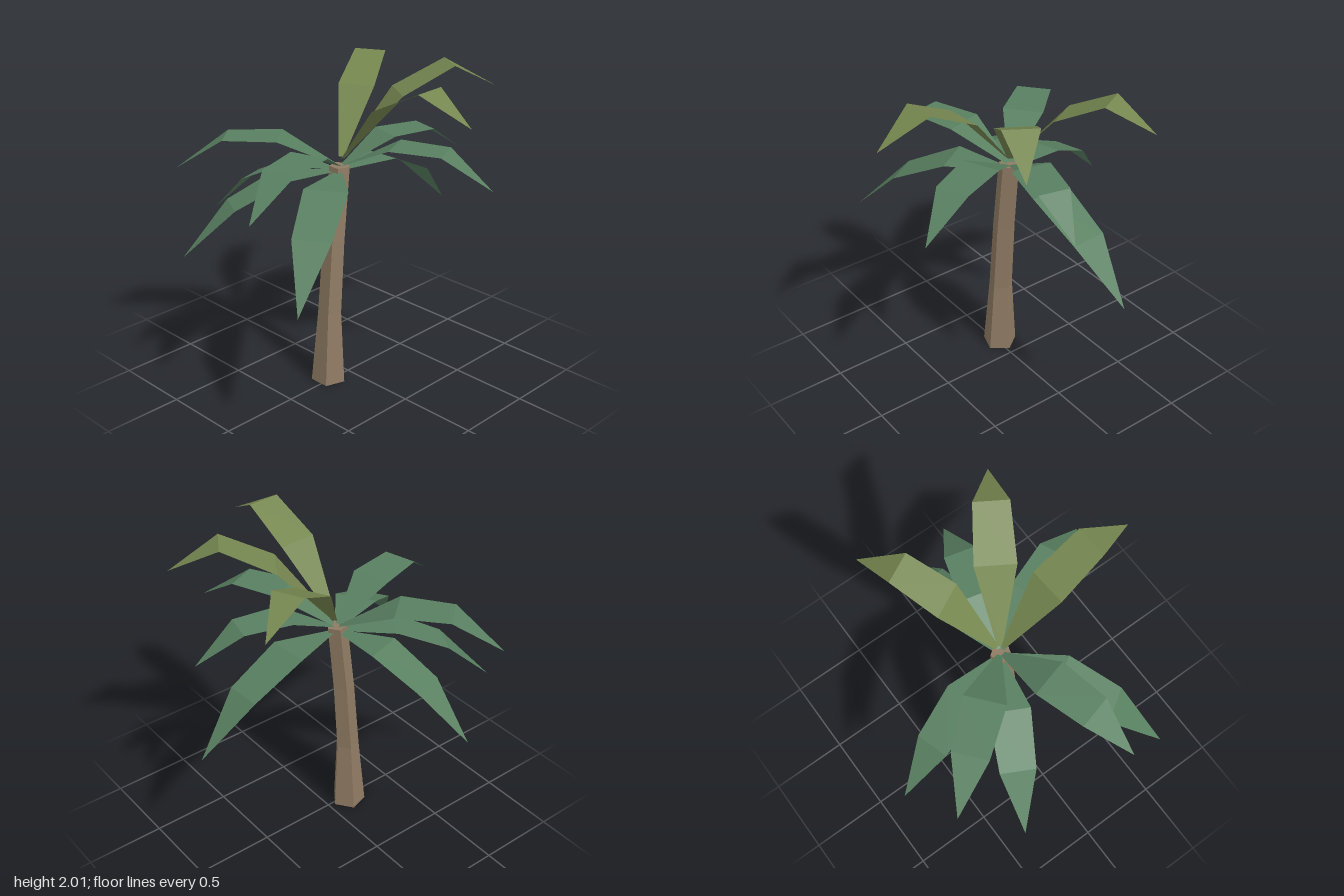
import * as THREE from 'three';

const bark = new THREE.MeshStandardMaterial({ color: 0x8f7b63, flatShading: true });
bark.name = 'bark brown';
const green = new THREE.MeshStandardMaterial({ color: 0x587f60, flatShading: true, side: THREE.DoubleSide });
green.name = 'leaf green';
const olive = new THREE.MeshStandardMaterial({ color: 0x75864f, flatShading: true, side: THREE.DoubleSide });
olive.name = 'young leaf olive';

// Where all fronds meet, seen from above
const CX = -0.04, CZ = -0.025;

// Crown tiers: base height, then rise at the two bends and the tip per unit of frond length
const tiers = {
  upperFrond: { y: 1.46, rise: [0.405, 0.57, 0.4], material: olive, tips: [[0.02, 0.91], [0.77, 0.485], [0.755, -0.435]] },
  middleFrond: { y: 1.415, rise: [0.172, 0.166, -0.05], material: green, tips: [[0.82, 0.185], [-0.975, 0.225], [-0.68, -0.79], [0.34, 0.835]] },
  lowerFrond: { y: 1.382, rise: [0.008, -0.15, -0.455], material: green, tips: [[0.97, -0.065], [-0.92, 0.535], [-0.9, -0.475], [-0.3, -0.92]] },
};

// A flat leaf blade of three segments, swept from the crown to its tip
function makeFrond(tipX, tipZ, tier) {
  const length = Math.hypot(tipX - CX, tipZ - CZ);
  const dx = (tipX - CX) / length, dz = (tipZ - CZ) / length;
  const [r1, r2, r3] = tier.rise;
  const sections = [ // distance, height, half width
    [0.02, 0, 0.016],
    [0.362 * length, r1 * length, 0.127 * length],
    [0.692 * length, r2 * length, 0.11 * length],
    [length, r3 * length, 0],
  ];
  const positions = [];
  for (const [d, h, w] of sections) {
    for (const side of [-1, 1]) {
      positions.push(CX + dx * d - dz * w * side, tier.y + h, CZ + dz * d + dx * w * side);
    }
  }
  const index = [];
  for (let i = 0; i < 3; i++) {
    const a = i * 2;
    index.push(a, a + 1, a + 2);
    if (i < 2) index.push(a + 1, a + 3, a + 2);
  }
  const geometry = new THREE.BufferGeometry();
  geometry.setAttribute('position', new THREE.Float32BufferAttribute(positions, 3));
  geometry.setIndex(index);
  // Make the upper side the front
  geometry.index.array.reverse();
  geometry.computeVertexNormals();
  return new THREE.Mesh(geometry, tier.material);
}

// Five-sided trunk that tapers and leans as it rises
function makeTrunk() {
  const rings = [ // height, centre x, radius
    [0, -0.15, 0.11],
    [0.48, -0.134, 0.076],
    [0.95, -0.097, 0.07],
    [1.413, -0.045, 0.065],
  ];
  const geometry = new THREE.CylinderGeometry(1, 1, 3, 5, 3, false, Math.PI / 2);
  const p = geometry.attributes.position;
  for (let i = 0; i < p.count; i++) {
    const [y, x, r] = rings[Math.round(p.getY(i) + 1.5)];
    p.setXYZ(i, x + p.getX(i) * r, y, -0.022 + p.getZ(i) * r);
  }
  geometry.computeVertexNormals();
  const trunk = new THREE.Mesh(geometry, bark);
  trunk.name = 'trunk';
  return trunk;
}

export function createModel() {
  const model = new THREE.Group();
  model.name = 'palmTree';
  model.add(makeTrunk());

  const crown = new THREE.Group();
  crown.name = 'crown';
  for (const [name, tier] of Object.entries(tiers)) {
    tier.tips.forEach(([x, z], i) => {
      const frond = makeFrond(x, z, tier);
      frond.name = name + (i + 1);
      crown.add(frond);
    });
  }
  model.add(crown);
  return model;
}
